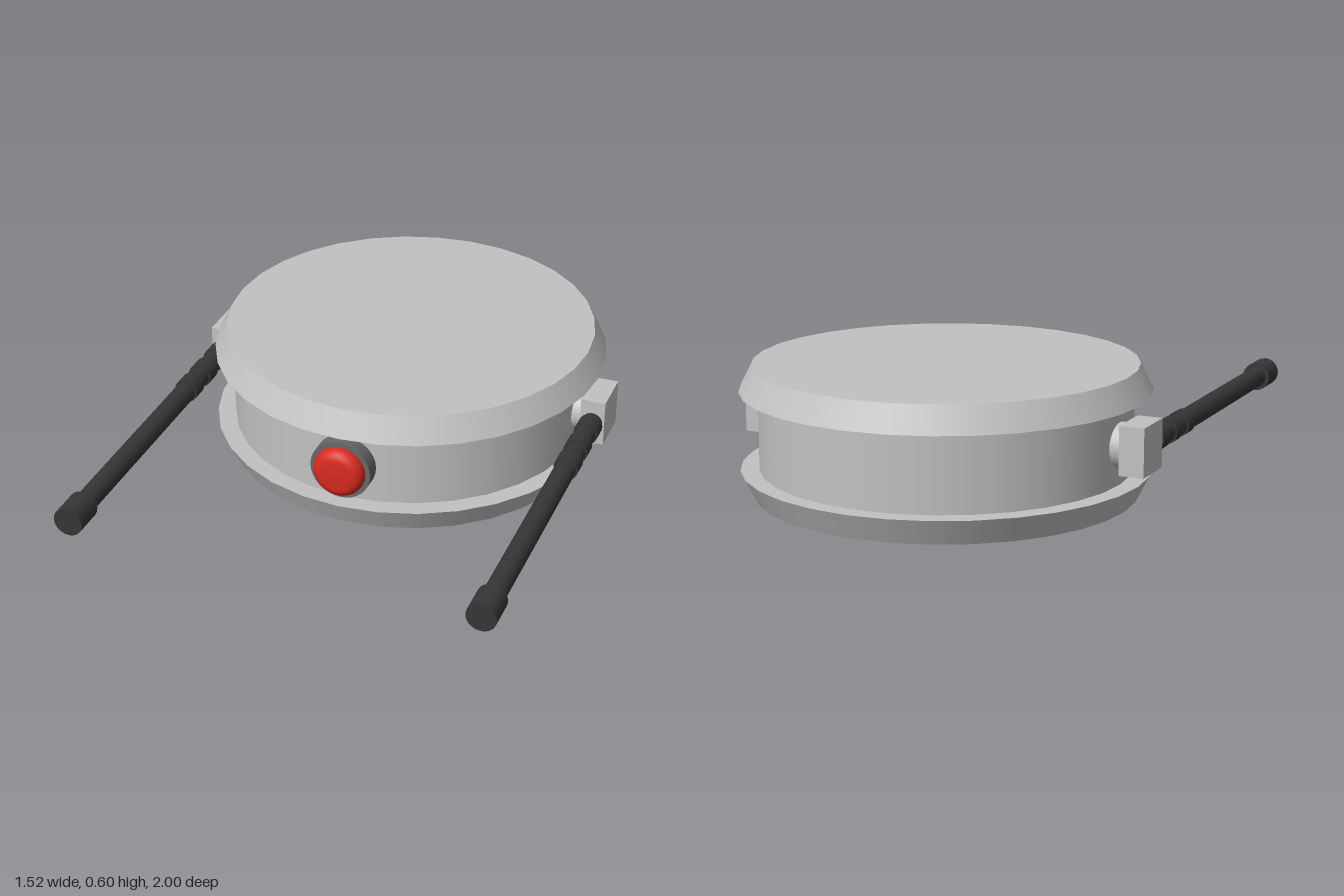
import * as THREE from 'three';

const mat = (name, color) => new THREE.MeshStandardMaterial({ name, color });

export function createModel() {
  const root = new THREE.Group();
  root.name = 'hoverDrone';
  const shell = mat('light grey shell', 0xc2c2c2);
  const dark = mat('charcoal', 0x363636);
  const nozzleGrey = mat('dark grey nozzle', 0x4a4a4a);
  const bezelGrey = mat('medium grey bezel', 0x686868);
  const red = mat('red lens', 0xd82a20);

  const add = (parent, name, geo, material, x = 0, y = 0, z = 0) => {
    const m = new THREE.Mesh(geo, material);
    m.name = name;
    m.position.set(x, y, z);
    parent.add(m);
    return m;
  };
  const cyl = (top, bottom, h, n = 32) => new THREE.CylinderGeometry(top, bottom, h, n);
  // cylinder along z between two depths
  const rod = (r, z0, z1, n = 20) => cyl(r, r, z1 - z0, n).rotateX(Math.PI / 2).translate(0, 0, (z0 + z1) / 2);

  // Round body: drum between two bevelled plates
  const bodyZ = -0.295;
  add(root, 'drum', cyl(0.64, 0.64, 0.29), shell, 0, 0.373, bodyZ);
  add(root, 'topPlate', cyl(0.66, 0.705, 0.09), shell, 0, 0.555, bodyZ);
  add(root, 'bottomPlate', cyl(0.705, 0.66, 0.09), shell, 0, 0.193, bodyZ);

  // Front eye: bezel and rounded lens
  add(root, 'eyeBezel', rod(0.109, 0.3, 0.39, 32), bezelGrey, 0, 0.373, 0);
  const lens = [[0.092, 0], [0.092, 0.035]];
  for (let i = 1; i <= 6; i++) {
    const a = (i / 6) * Math.PI / 2;
    lens.push([0.052 + 0.04 * Math.cos(a), 0.035 + 0.04 * Math.sin(a)]);
  }
  lens.push([0, 0.078]);
  const lensGeo = new THREE.LatheGeometry(lens.map(([r, y]) => new THREE.Vector2(r, y)), 32);
  add(root, 'eyeLens', lensGeo.rotateX(Math.PI / 2), red, 0, 0.373, 0.36);

  // Side guns: hub, mounting block, barrel, collars and muzzle
  for (const s of [1, -1]) {
    const gun = new THREE.Group();
    gun.name = s > 0 ? 'leftGun' : 'rightGun';
    gun.position.set(s * 0.711, 0.375, 0);
    root.add(gun);
    add(gun, 'hub', cyl(0.077, 0.077, 0.09, 24).rotateZ(Math.PI / 2), shell, -s * 0.088, 0, bodyZ);
    add(gun, 'mountBlock', new THREE.BoxGeometry(0.088, 0.168, 0.165), shell, 0, 0, -0.2925);
    add(gun, 'barrel', rod(0.037, -0.22, 0.9), dark);
    for (const z of [-0.16, -0.035, 0.08]) add(gun, 'collar', rod(0.043, z - 0.032, z + 0.032), dark);
    add(gun, 'muzzle', rod(0.051, 0.89, 1), dark);
  }

  // Toothed ring outline for the nozzle ends
  const teeth = 20;
  const gear = new THREE.Shape();
  for (let i = 0; i < teeth * 4; i++) {
    const a = (i / (teeth * 4)) * Math.PI * 2;
    const r = i % 4 < 2 ? 0.081 : 0.071;
    gear[i ? 'lineTo' : 'moveTo'](r * Math.cos(a), r * Math.sin(a));
  }

  // Tilted nozzles under the body
  for (const s of [1, -1]) {
    const nozzle = new THREE.Group();
    nozzle.name = s > 0 ? 'leftNozzle' : 'rightNozzle';
    nozzle.position.set(s * 0.3, 0.026, -0.046);
    nozzle.rotation.x = 0.3;
    root.add(nozzle);
    add(nozzle, 'cone', cyl(0.118, 0.081, 0.18, 24), nozzleGrey, 0, 0.102, 0);
    const ring = new THREE.ExtrudeGeometry(gear, { depth: 0.014, bevelEnabled: false });
    add(nozzle, 'toothedEnd', ring.rotateX(-Math.PI / 2), dark);
  }
  return root;
}
